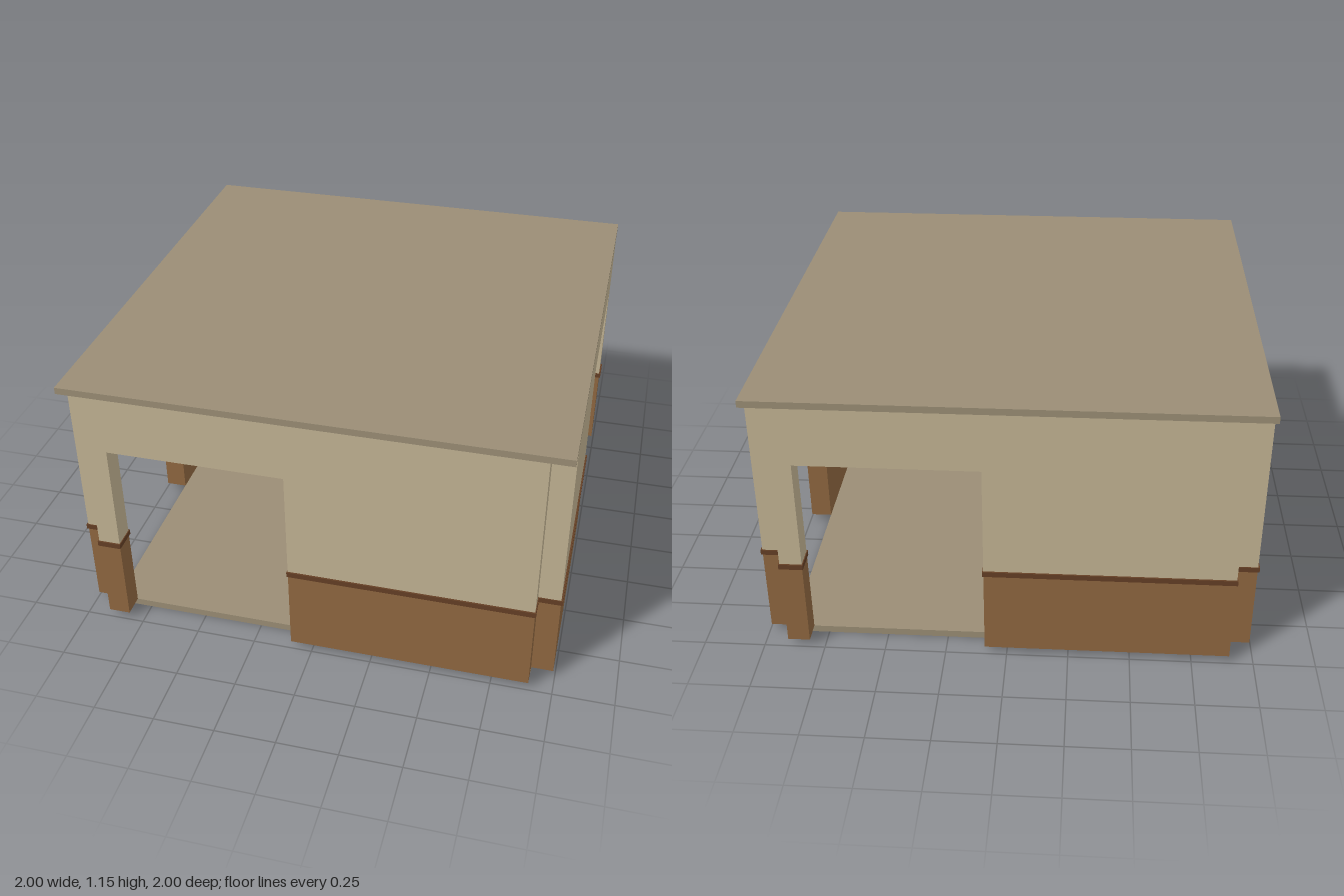
import * as THREE from 'three';

const mat = (name, color) => {
  const m = new THREE.MeshStandardMaterial({ color });
  m.name = name;
  return m;
};

export function createModel() {
  const plaster = mat('cream plaster', 0xc2b393);
  const wood = mat('brown panelling', 0x8f6740);
  const rail = mat('dark brown rail', 0x643f25);
  const stone = mat('grey brown slab', 0x9a8d75);
  const metal = mat('dark metal', 0x363b42);

  const model = new THREE.Group();
  model.name = 'room';

  // Box given by its lower and upper corners
  const box = (parent, name, material, [x0, y0, z0], [x1, y1, z1]) => {
    const mesh = new THREE.Mesh(new THREE.BoxGeometry(x1 - x0, y1 - y0, z1 - z0), material);
    mesh.position.set((x0 + x1) / 2, (y0 + y1) / 2, (z0 + z1) / 2);
    mesh.name = name;
    parent.add(mesh);
    return mesh;
  };

  const IN = 0.902, OUT = 0.992;           // inner and outer wall faces
  const BASE = 0.03, RAIL = 0.4, TOP = 1.12;
  const DOOR_NEAR = 0.09, DOOR_FAR = 0.812, DOOR_TOP = 0.875;
  const LIP = 0.007;                       // how far the rail stands out

  // Floor and flat roof
  box(model, 'floor', stone, [-IN, 0, -IN], [IN, BASE, IN]);
  box(model, 'roof', stone, [-OUT, TOP, -OUT], [OUT, 1.148, OUT]);

  // One wall along local x, its doorway on the given side
  const makeWall = (name, side, angle) => {
    const wall = new THREE.Group();
    wall.name = name;

    // Upper plaster with the doorway cut out of its lower edge
    const outline = [
      [-IN, RAIL], [-DOOR_FAR, RAIL], [-DOOR_FAR, DOOR_TOP], [-DOOR_NEAR, DOOR_TOP],
      [-DOOR_NEAR, RAIL], [IN, RAIL], [IN, TOP], [-IN, TOP],
    ].map(([x, y]) => new THREE.Vector2(-side * x, y));
    const upper = new THREE.Mesh(
      new THREE.ExtrudeGeometry(new THREE.Shape(outline), { depth: OUT - IN, bevelEnabled: false }),
      plaster);
    upper.position.z = IN;
    upper.name = 'upperWall';
    wall.add(upper);

    // Panelling and rail on both sides of the doorway
    for (const [a, b] of [[-IN, -DOOR_FAR], [-DOOR_NEAR, IN]]) {
      const x0 = Math.min(-side * a, -side * b), x1 = Math.max(-side * a, -side * b);
      box(wall, 'panelling', wood, [x0, BASE, IN], [x1, RAIL, OUT]);
      box(wall, 'rail', rail, [x0 - 0.004, 0.39, IN - LIP], [x1 + 0.004, 0.412, OUT + LIP]);
    }
    wall.rotation.y = angle;
    model.add(wall);
  };
  makeWall('frontWall', -1, 0);
  makeWall('rightWall', 1, Math.PI / 2);
  makeWall('backWall', -1, Math.PI);
  makeWall('leftWall', 1, -Math.PI / 2);

  // Shelf unit against the back wall
  const unit = new THREE.Group();
  unit.name = 'shelfUnit';
  const X0 = -0.815, X1 = -0.09, Z0 = -0.89, Z1 = -0.66, T = 0.03;
  box(unit, 'shelfSide', metal, [X0, BASE, Z0], [X0 + T, 0.573, Z1]);
  box(unit, 'shelfSide', metal, [X1 - T, BASE, Z0], [X1, 0.573, Z1]);
  for (const y of [0.066, 0.238, 0.413, 0.548]) {
    box(unit, 'shelf', metal, [X0 + T, y, Z0], [X1 - T, y + 0.017, Z1 - 0.005]);
  }

  // Boxes stored on the shelves
  box(unit, 'paleBox', plaster, [-0.74, 0.083, -0.85], [-0.59, 0.187, -0.7]);
  box(unit, 'greyBox', stone, [-0.32, 0.255, -0.85], [-0.17, 0.36, -0.7]);
  model.add(unit);

  return model;
}
